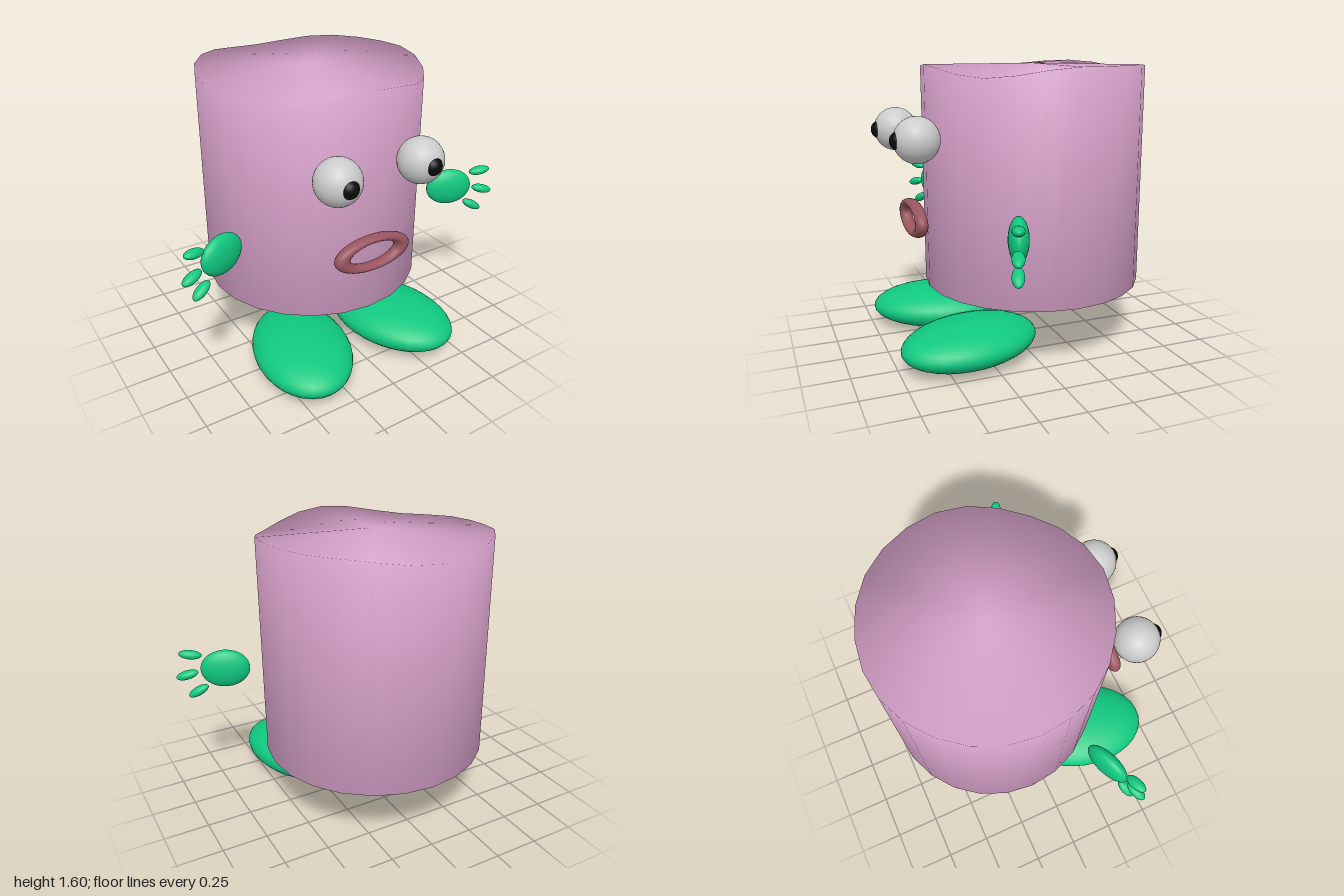
import * as THREE from 'three';
import { mergeVertices } from 'three/addons/utils/BufferGeometryUtils.js';

const paint = (color) => new THREE.MeshStandardMaterial({ color });
const pink = paint(0xd9a3cc), green = paint(0x10c880), grey = paint(0xcccccc);
const black = paint(0x0a0a0a), red = paint(0x995560);

// Ellipsoid with given centre, half sizes and turn (z first, then y)
function ellipsoid(name, material, center, half, turnY = 0, turnZ = 0) {
  const mesh = new THREE.Mesh(new THREE.SphereGeometry(1, 32, 20), material);
  mesh.name = name;
  mesh.position.set(...center);
  mesh.scale.set(...half);
  mesh.rotation.set(0, turnY, turnZ, 'YXZ');
  return mesh;
}

// Drum with an uneven top rim and normals shared between wall and caps
function createBody() {
  const bottom = 0.365, top = 1.6, sides = 24;
  let geo = new THREE.CylinderGeometry(0.622, 0.622, top - bottom, sides, 1);
  geo.deleteAttribute('normal');
  geo.deleteAttribute('uv');
  geo = mergeVertices(geo, 1e-4);
  // rim dips, starting at the front and turning towards +x in steps of 45 degrees
  const dips = [0, 0.055, 0, 0, 0.04, 0, 0.03, 0.055];
  const pos = geo.attributes.position;
  for (let i = 0; i < pos.count; i++) {
    const x = pos.getX(i), z = pos.getZ(i);
    if (pos.getY(i) < 0 || Math.hypot(x, z) < 0.1) continue;
    const a = ((Math.atan2(x, z) / (Math.PI / 4)) + 8 + 1e-6) % 8;
    const k = Math.floor(a), t = THREE.MathUtils.smoothstep(a - k, 0, 1);
    pos.setY(i, pos.getY(i) - THREE.MathUtils.lerp(dips[k], dips[(k + 1) % 8], t));
  }
  geo.computeVertexNormals();
  const body = new THREE.Mesh(geo, pink);
  body.name = 'body';
  body.position.set(0.005, (bottom + top) / 2, -0.122);
  return body;
}

// Palm with three floating fingers; s = 1 is the model's left
function createHand(s) {
  const hand = new THREE.Group();
  hand.name = s > 0 ? 'leftHand' : 'rightHand';
  hand.add(ellipsoid('palm', green, [s * 0.746, 0.812, 0.255], [0.137, 0.11, 0.052], -s * 0.37));
  const fingers = [[0.918, 0.904, 0.325, 0.15], [0.942, 0.782, 0.335, -0.25], [0.892, 0.68, 0.315, -0.5]];
  for (const [x, y, z, tilt] of fingers) {
    hand.add(ellipsoid('finger', green, [s * x, y, z], [0.063, 0.025, 0.031], -s * 0.37, s * tilt));
  }
  return hand;
}

export function createModel() {
  const model = new THREE.Group();
  model.name = 'creature';
  model.add(createBody());

  // Eyes with bulging pupils
  for (const [side, x] of [['left', 0.215], ['right', -0.282]]) {
    model.add(ellipsoid(side + 'Eye', grey, [x, 1.23, 0.6], [0.122, 0.122, 0.122]));
    model.add(ellipsoid(side + 'Pupil', black, [x, 1.23, 0.69], [0.051, 0.051, 0.051]));
  }

  // Flattened ring mouth
  const mouth = new THREE.Mesh(new THREE.TorusGeometry(0.187, 0.045, 16, 48), red);
  mouth.name = 'mouth';
  mouth.position.set(-0.043, 0.76, 0.57);
  mouth.scale.set(1, 0.43, 0.77);
  model.add(mouth);

  // Hands and feet, toes turned out
  for (const s of [1, -1]) {
    model.add(createHand(s));
    const x = s > 0 ? 0.277 : -0.345;
    model.add(ellipsoid(s > 0 ? 'leftFoot' : 'rightFoot', green, [x, 0.123, 0.35], [0.27, 0.123, 0.402], s * 0.255));
  }
  return model;
}
